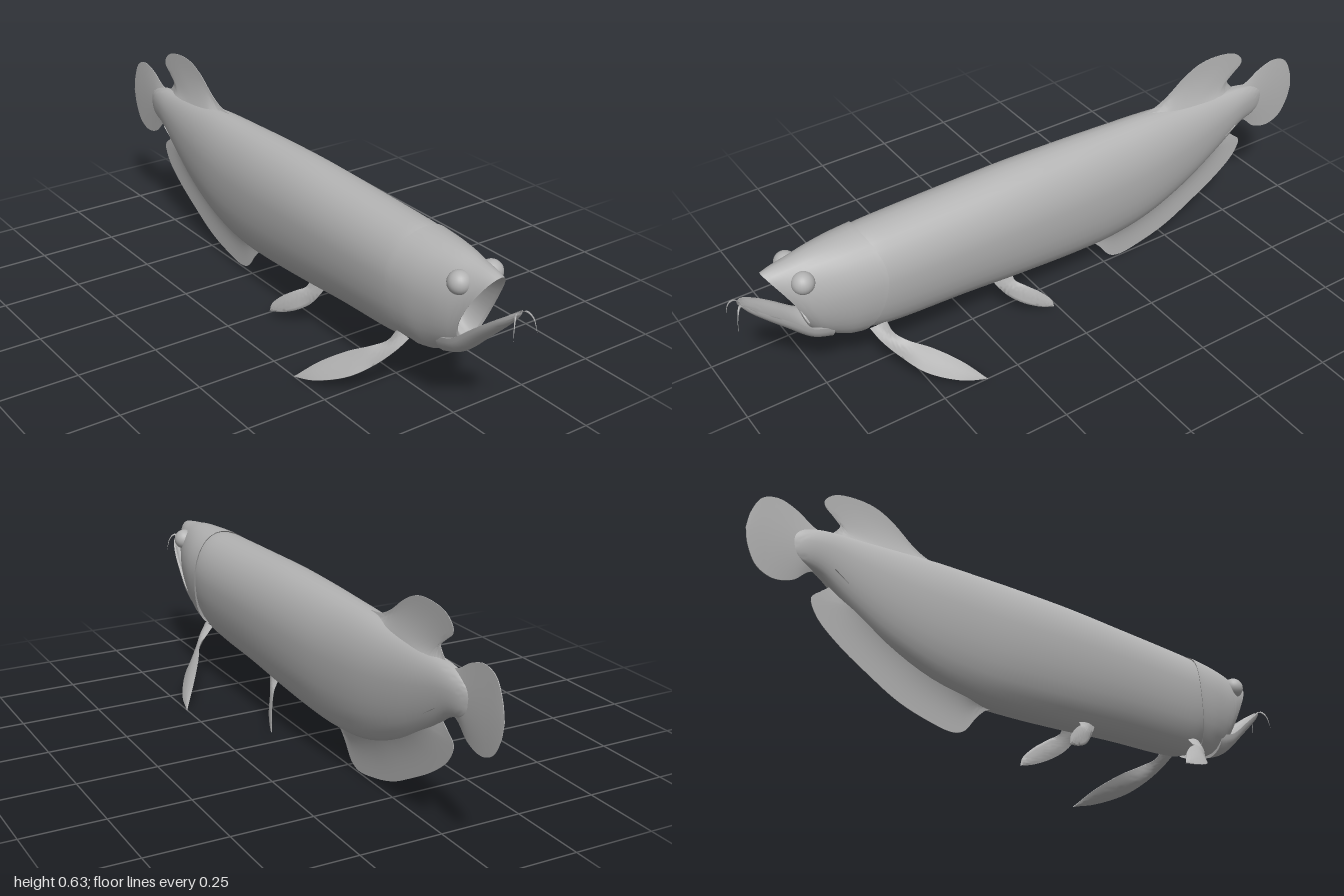
import * as THREE from 'three';
import { toCreasedNormals } from 'three/addons/utils/BufferGeometryUtils.js';

const V = (x, y, z) => new THREE.Vector3(x, y, z);
const curve = (pts) => new THREE.CatmullRomCurve3(pts);

// Skin a closed solid over rings of equal point count, capped at both ends
function loft(rings, crease = 0.9) {
  const n = rings[0].length, pos = [], idx = [];
  rings.forEach((r) => r.forEach((p) => pos.push(p.x, p.y, p.z)));
  for (let i = 0; i < rings.length - 1; i++) {
    for (let j = 0; j < n; j++) {
      const a = i * n + j, b = i * n + (j + 1) % n;
      idx.push(a, b, a + n, b, b + n, a + n);
    }
  }
  [0, rings.length - 1].forEach((i, end) => {
    const c = rings[i].reduce((s, p) => s.add(p), V(0, 0, 0)).divideScalar(n);
    const k = pos.length / 3;
    pos.push(c.x, c.y, c.z);
    for (let j = 0; j < n; j++) {
      const a = i * n + j, b = i * n + (j + 1) % n;
      idx.push(...(end ? [k, a, b] : [k, b, a]));
    }
  });
  // turn the faces outward when the enclosed volume is negative
  const at = (i) => V(pos[3 * i], pos[3 * i + 1], pos[3 * i + 2]);
  let vol = 0;
  for (let i = 0; i < idx.length; i += 3) vol += at(idx[i]).dot(at(idx[i + 1]).cross(at(idx[i + 2])));
  if (vol < 0) idx.reverse();
  const g = new THREE.BufferGeometry();
  g.setAttribute('position', new THREE.Float32BufferAttribute(pos, 3));
  g.setIndex(idx);
  return toCreasedNormals(g, crease);
}

// Interpolate rows of numbers smoothly
function smoothRows(rows, steps) {
  const out = [];
  for (let i = 0; i < rows.length - 1; i++) {
    const [a, b, c, d] = [rows[Math.max(i - 1, 0)], rows[i], rows[i + 1], rows[Math.min(i + 2, rows.length - 1)]];
    for (let s = 0; s < steps; s++) {
      const t = s / steps;
      out.push(b.map((_, k) => b[k] + 0.5 * t * (c[k] - a[k] + t * (2 * a[k] - 5 * b[k] + 4 * c[k] - d[k]
        + t * (3 * (b[k] - c[k]) + d[k] - a[k])))));
    }
  }
  return [...out, rows[rows.length - 1]];
}

// Egg section: top z, top y, bottom z, bottom y, half width, height share of the widest point, bow in z
function eggRing([tz, ty, bz, by, w, f, bow]) {
  return Array.from({ length: 32 }, (_, i) => {
    const a = (i / 32) * Math.PI * 2, c = Math.cos(a), s = Math.sin(a);
    const k = c > 0 ? f * (1 - c) : f - (1 - f) * c;
    return V(w * s, ty + (by - ty) * k, tz + (bz - tz) * k + bow * s * s);
  });
}

// Fin between two edge curves, thickness given across its width
function fin(a, b, dir, thick, nu = 32, nv = 8) {
  const ca = curve(a), cb = curve(b), rings = [];
  for (let i = 0; i <= nu; i++) {
    const u = i / nu, pa = ca.getPoint(u), pb = cb.getPoint(u), ring = [];
    for (const side of [1, -1]) {
      for (let j = 0; j <= nv; j++) {
        const v = side > 0 ? j / nv : 1 - j / nv;
        ring.push(pa.clone().lerp(pb, v).addScaledVector(dir, side * thick(v, u)));
      }
    }
    rings.push(ring);
  }
  return loft(rings);
}

export function createModel() {
  const group = new THREE.Group();
  const grey = new THREE.MeshStandardMaterial({ color: 0xb3b3b3 });
  const add = (name, geo) => {
    const m = new THREE.Mesh(geo, grey);
    m.name = name;
    group.add(m);
    return m;
  };

  // Long body: z, top, bottom, half width
  const body = [
    [0.66, 0.49, 0.19, 0.095], [0.6, 0.503, 0.16, 0.108], [0.5, 0.507, 0.147, 0.114], [0.3, 0.513, 0.138, 0.115],
    [0.1, 0.519, 0.122, 0.113], [-0.1, 0.518, 0.11, 0.107], [-0.25, 0.515, 0.11, 0.098], [-0.4, 0.511, 0.135, 0.085],
    [-0.55, 0.5, 0.195, 0.065], [-0.68, 0.49, 0.275, 0.046], [-0.77, 0.482, 0.34, 0.033], [-0.83, 0.465, 0.36, 0.02],
    [-0.87, 0.44, 0.38, 0.004]];
  add('body', loft(smoothRows(body, 4).map(([z, t, b, w]) => eggRing([z, t, z, b, w, 0.4, 0]))));

  // Head with gill cover edge behind and an open mouth in front
  const outer = [
    [0.61, 0.505, 0.65, 0.163, 0.117, 0.4, -0.045], [0.69, 0.502, 0.68, 0.17, 0.108, 0.42, -0.025],
    [0.76, 0.497, 0.71, 0.185, 0.091, 0.45, 0], [0.82, 0.488, 0.745, 0.205, 0.076, 0.5, 0],
    [0.87, 0.481, 0.77, 0.225, 0.064, 0.55, -0.01], [0.9, 0.474, 0.785, 0.24, 0.055, 0.6, -0.015]];
  const back = [0.63, 0.49, 0.66, 0.18, 0.1, 0.4, -0.045];
  const inner = [
    [0.892, 0.466, 0.785, 0.25, 0.047, 0.6, -0.015], [0.81, 0.44, 0.75, 0.265, 0.04, 0.55, 0],
    [0.74, 0.4, 0.72, 0.3, 0.025, 0.5, 0]];
  add('head', loft([back, ...smoothRows(outer, 4), ...inner].map(eggRing)));

  // Scooped lower jaw: z, rim y, depth, half width
  const jaw = [
    [0.73, 0.25, 0.065, 0.06], [0.79, 0.268, 0.056, 0.06], [0.86, 0.325, 0.045, 0.055],
    [0.91, 0.365, 0.036, 0.047], [0.95, 0.395, 0.025, 0.032], [0.975, 0.412, 0.008, 0.006]];
  add('lowerJaw', loft(smoothRows(jaw, 4).map(([z, y, d, w]) =>
    Array.from({ length: 26 }, (_, i) => {
      const out = i < 13, a = Math.PI * (out ? i : 25 - i) / 12;
      return V((out ? 1 : 0.86) * w * Math.cos(a), y - d * (out ? 1 : 0.6) * Math.sin(a), z);
    }))));

  // Upright fins
  const yz = (pts) => pts.map(([z, y]) => V(0, y, z));
  const flare = (t) => (v) => t * (1 - v) ** 3 + 0.003 * (1 - v) + 0.0008;
  const X = V(1, 0, 0);
  add('dorsalFin', fin(
    yz([[-0.37, 0.5], [-0.46, 0.49], [-0.55, 0.485], [-0.65, 0.475], [-0.74, 0.46]]),
    yz([[-0.37, 0.513], [-0.42, 0.52], [-0.47, 0.543], [-0.54, 0.593], [-0.6, 0.62], [-0.67, 0.625], [-0.74, 0.61],
      [-0.77, 0.58], [-0.765, 0.56], [-0.73, 0.545], [-0.715, 0.52], [-0.74, 0.485]]),
    X, flare(0.022), 48));
  add('analFin', fin(
    yz([[-0.14, 0.135], [-0.3, 0.15], [-0.45, 0.2], [-0.6, 0.27], [-0.74, 0.36]]),
    yz([[-0.14, 0.112], [-0.19, 0.105], [-0.23, 0.07], [-0.27, 0.02], [-0.31, 0.005], [-0.4, 0.018], [-0.5, 0.048],
      [-0.6, 0.1], [-0.7, 0.16], [-0.77, 0.22], [-0.79, 0.27], [-0.76, 0.3], [-0.735, 0.325], [-0.76, 0.35]]),
    X, flare(0.03), 48));
  add('tailFin', fin(
    yz([[-0.74, 0.47], [-0.8, 0.485], [-0.85, 0.515], [-0.91, 0.532], [-0.96, 0.515], [-0.99, 0.46], [-1, 0.41]]),
    yz([[-0.74, 0.36], [-0.8, 0.345], [-0.85, 0.303], [-0.91, 0.288], [-0.96, 0.308], [-0.99, 0.36], [-1, 0.41]]),
    X, (v, u) => 0.001 + 0.016 * Math.sin(Math.PI * v) * (1 - u) ** 1.5));

  // Paired parts, mirrored left and right
  for (const s of [1, -1]) {
    const side = s > 0 ? 'left' : 'right';
    const m = (pts) => pts.map(([x, y, z]) => V(s * x, y, z));
    const lens = (t) => (v, u) => 0.0008 + t * Math.sin(Math.PI * v) * (1 - 0.8 * u);

    add(side + 'PectoralFin', fin(
      m([[0.06, 0.19, 0.625], [0.09, 0.155, 0.608], [0.13, 0.105, 0.57], [0.185, 0.06, 0.52], [0.235, 0.02, 0.43], [0.253, 0.001, 0.355]]),
      m([[0.06, 0.19, 0.57], [0.085, 0.165, 0.565], [0.12, 0.147, 0.54], [0.155, 0.113, 0.48], [0.205, 0.06, 0.41], [0.253, 0.001, 0.355]]),
      V(s * 0.7, 0.7, 0.1), lens(0.009)));
    add(side + 'PelvicFin', fin(
      m([[0.03, 0.155, 0.2], [0.04, 0.12, 0.18], [0.055, 0.08, 0.15], [0.08, 0.05, 0.11], [0.102, 0.028, 0.06], [0.114, 0.021, 0.025]]),
      m([[0.03, 0.155, 0.125], [0.047, 0.128, 0.125], [0.07, 0.11, 0.1], [0.094, 0.08, 0.06], [0.11, 0.045, 0.03], [0.114, 0.021, 0.025]]),
      V(s * 0.8, 0.6, 0), lens(0.008)));

    // Bulging eye
    const eye = add(side + 'Eye', new THREE.SphereGeometry(0.033, 24, 16));
    eye.position.set(s * 0.054, 0.437, 0.805);

    // Tapered chin barbel
    const path = curve(m([[0.006, 0.4, 0.962], [0.018, 0.408, 0.977], [0.032, 0.39, 0.99], [0.04, 0.35, 0.998]]));
    add(side + 'Barbel', loft(Array.from({ length: 13 }, (_, i) => {
      const p = path.getPoint(i / 12), r = 0.005 * (1 - i / 12.5);
      return Array.from({ length: 8 }, (_, j) => {
        const a = j * Math.PI / 4;
        return V(p.x + r * Math.cos(a), p.y + r * Math.sin(a) * 0.7, p.z + r * Math.sin(a) * 0.7);
      });
    })));
  }
  return group;
}
